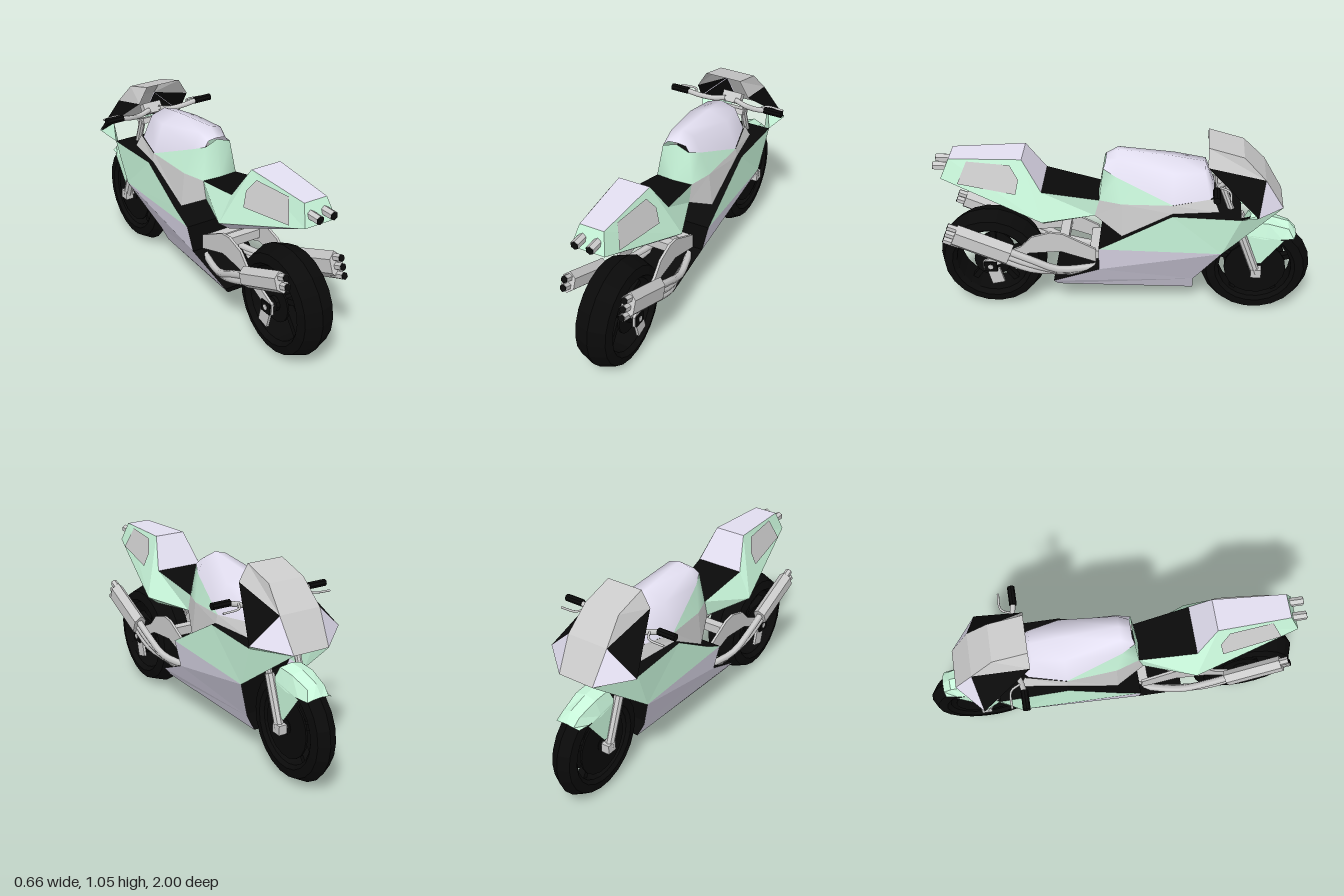
import * as THREE from 'three';

const GREEN = 0xc8f6da, LILAC = 0xe4e0f2, GREY = 0xcccccc, BLACK = 0x0a0a0a;
const V = (a) => new THREE.Vector3(...a);
const flip = ([x, y, z]) => [-x, y, z];
const SIDES = [1, -1];

export function createModel() {
  const model = new THREE.Group();
  const material = (color, flat = true) =>
    new THREE.MeshStandardMaterial({ color, flatShading: flat, side: THREE.DoubleSide });
  const add = (name, geo, color, parent = model, flat = true) => {
    const mesh = new THREE.Mesh(geo, material(color, flat));
    mesh.name = name;
    parent.add(mesh);
    return mesh;
  };

  // Flat panels from convex polygons
  const panels = (name, color, polys) => {
    const pos = [];
    for (const p of polys)
      for (let i = 1; i < p.length - 1; i++) pos.push(...p[0], ...p[i], ...p[i + 1]);
    const geo = new THREE.BufferGeometry();
    geo.setAttribute('position', new THREE.Float32BufferAttribute(pos, 3));
    geo.computeVertexNormals();
    return add(name, geo, color);
  };
  // The same panels on both flanks
  const both = (name, color, polys) =>
    panels(name, color, [...polys, ...polys.map((p) => p.map(flip).reverse())]);
  // A ribbon spanning the bike from flank to flank through a list of edge points
  const across = (name, color, edge) =>
    panels(name, color, edge.slice(1).map((q, i) => [edge[i], q, flip(q), flip(edge[i])]));

  // Smooth skin through cross-sections
  const loft = (name, color, sections, flat = false) => {
    const n = sections[0].length, idx = [];
    for (let i = 0; i < sections.length - 1; i++)
      for (let j = 0; j < n - 1; j++) {
        const a = i * n + j, b = a + n;
        idx.push(a, a + 1, b, a + 1, b + 1, b);
      }
    const geo = new THREE.BufferGeometry();
    geo.setAttribute('position', new THREE.Float32BufferAttribute(sections.flat(2), 3));
    geo.setIndex(idx);
    geo.computeVertexNormals();
    return add(name, geo, color, model, flat);
  };
  const mirrored = (half) => [...half, ...half.slice(0, -1).reverse().map(flip)];

  const rod = (name, a, b, r, color = GREY, seg = 8) => {
    const d = V(b).sub(V(a));
    const mesh = add(name, new THREE.CylinderGeometry(r, r, d.length(), seg), color);
    mesh.position.copy(V(a)).addScaledVector(d, 0.5);
    mesh.quaternion.setFromUnitVectors(new THREE.Vector3(0, 1, 0), d.normalize());
    return mesh;
  };
  const tube = (name, pts, r, color = GREY) =>
    add(name, new THREE.TubeGeometry(new THREE.CatmullRomCurve3(pts.map(V)), 10, r, 6), color, model, false);
  const box = (name, size, at, color = GREY) => {
    const mesh = add(name, new THREE.BoxGeometry(...size), color);
    mesh.position.set(...at);
    return mesh;
  };

  // Wheels: lathed tyre, five spokes, hub and discs
  const wheel = (name, z, w, discR, discX) => {
    const g = new THREE.Group();
    g.name = name;
    g.position.set(0, 0.292, z);
    const side = [[0.195, 0.75], [0.215, 1], [0.262, 0.86]];
    const ring = [...side, [0.292, 0], ...side.slice().reverse().map(([r, x]) => [r, -x]), side[0]];
    add('tyre', new THREE.LatheGeometry(ring.map(([r, x]) => new THREE.Vector2(r, x * w)), 22).rotateZ(Math.PI / 2), BLACK, g);
    add('hub', new THREE.CylinderGeometry(0.04, 0.04, w * 1.7, 10).rotateZ(Math.PI / 2), BLACK, g);
    for (let i = 0; i < 5; i++)
      add('spoke', new THREE.BoxGeometry(0.04, 0.2, 0.03).translate(0, 0.11, 0).rotateX((i * 2 * Math.PI) / 5), BLACK, g);
    for (const s of SIDES)
      add('disc', new THREE.CylinderGeometry(discR, discR, 0.01, 18).rotateZ(Math.PI / 2).translate(s * discX, 0, 0), BLACK, g);
    model.add(g);
  };
  wheel('rearWheel', 0.708, 0.098, 0.1, 0.06);
  wheel('frontWheel', -0.708, 0.062, 0.165, 0.045);

  // Main fairing corner points on the +x flank; the belly narrows to a keel at the front
  const wing = [0.26, 0.75, -0.69], nose = [0.1, 0.715, -0.825], elbow = [0.205, 0.7, -0.61];
  const topMid = [0.2, 0.705, -0.26], topLow = [0.2, 0.545, 0], rearTop = [0.2, 0.485, 0.12];
  const rearMid = [0.165, 0.33, 0.12], rearLow = [0.13, 0.215, 0.37], bellyRear = [0.1, 0.175, 0.35];
  const frontMid = [0.19, 0.475, -0.52], frontLow = [0.06, 0.21, -0.38], bellyFront = [0.015, 0.12, -0.38];
  both('upperFairing', GREEN, [[topMid, topLow, rearTop, frontMid], [elbow, topMid, frontMid], [elbow, frontMid, nose], [wing, elbow, nose]]);
  both('lowerFairing', LILAC, [[rearTop, rearMid, frontMid], [rearMid, frontLow, frontMid], [rearMid, rearLow, frontLow], [frontLow, rearLow, bellyRear, bellyFront]]);
  across('bellyPan', LILAC, [bellyFront, bellyRear]);
  across('fairingInner', BLACK, [elbow, topMid, topLow, rearTop, rearMid, rearLow, bellyRear]);
  across('radiatorShroud', BLACK, [[0.19, 0.69, -0.46], [0.175, 0.47, -0.4], [0.055, 0.21, -0.355], bellyFront]);

  // Windscreen and nose
  const scrTop = [0.1, 1.055, -0.43], scrSide = [0.15, 0.97, -0.43], scrMid = [0.1, 1.005, -0.61], brow = [0.115, 0.885, -0.725];
  across('windscreen', GREY, [scrTop, scrMid, brow]);
  across('headlightPanel', GREY, [brow, nose]);
  both('windscreenSide', GREY, [[scrTop, scrMid, brow, scrSide]]);
  both('screenCheek', BLACK, [[scrSide, brow, wing]]);
  both('nosePanel', LILAC, [[brow, nose, wing]]);
  both('noseLining', BLACK, [[brow, nose, wing].map(([x, y, z]) => [x - 0.004, y, z + 0.01])]);

  // Fuel tank: lilac top shell over green flanks
  const tank = [ // colour line, shoulder, centre
    [[0.075, 0.9, 0.1], [0.05, 0.925, 0.09], [0, 0.93, 0.09]],
    [[0.105, 0.87, 0.03], [0.065, 0.955, 0.03], [0, 0.975, 0.03]],
    [[0.165, 0.75, -0.26], [0.11, 0.905, -0.26], [0, 0.945, -0.26]],
    [[0.12, 0.765, -0.45], [0.08, 0.895, -0.42], [0, 0.92, -0.42]],
    [[0.1, 0.77, -0.47], [0.06, 0.78, -0.47], [0, 0.78, -0.47]],
  ];
  loft('tankTop', LILAC, tank.map(mirrored));
  const flank = [
    [[0, 0.925, 0.095], [0, 0.725, 0.13]], [[0.075, 0.9, 0.1], [0.1, 0.725, 0.12]],
    [[0.105, 0.87, 0.03], [0.14, 0.73, 0]], [[0.165, 0.75, -0.26], [0.166, 0.745, -0.26]],
  ];
  loft('tankFlankLeft', GREEN, flank);
  loft('tankFlankRight', GREEN, flank.map((s) => s.map(flip)));
  both('frameCover', GREY, [
    [[0.1, 0.63, 0.145], [0.1, 0.725, 0.12], [0.14, 0.73, 0], [0.16, 0.545, 0]],
    [[0.14, 0.73, 0], [0.166, 0.75, -0.26], [0.175, 0.705, -0.26], [0.16, 0.545, 0]],
    [[0.166, 0.75, -0.26], [0.12, 0.77, -0.47], [0.14, 0.7, -0.5], [0.175, 0.705, -0.26]],
  ]);
  across('frameRear', BLACK, [[0.1, 0.725, 0.12], [0.1, 0.63, 0.145], [0.16, 0.545, 0]]);

  // Seat and tail cowl
  const tailTop = [0.065, 0.925, 0.895], tailEnd = [0.09, 0.82, 0.94], humpTop = [0.085, 0.945, 0.515];
  const seatBack = [0.13, 0.78, 0.415], seatFront = [0.1, 0.725, 0.12], hip = [0.2, 0.64, 0.41];
  const keel = [0.14, 0.595, 0.41], neck = [0.1, 0.63, 0.145];
  across('seat', BLACK, [seatFront, seatBack]);
  across('tailTop', LILAC, [seatBack, humpTop, tailTop]);
  across('tailEnd', GREEN, [tailTop, tailEnd]);
  across('tailUnderside', BLACK, [tailEnd, keel, neck]);
  both('tailSide', GREEN, [[tailTop, humpTop, hip, tailEnd], [humpTop, seatBack, hip], [seatBack, seatFront, neck, hip], [hip, neck, keel]]);
  both('tailBevel', LILAC, [[tailEnd, hip, keel]]);
  // Side plates lying on the cowl
  const plate = [[0.8, 0.92], [0.575, 0.918], [0.53, 0.85], [0.545, 0.775], [0.85, 0.805]];
  both('sidePlate', GREY, [plate.map(([z, y]) => [0.095 + 0.346 * (0.945 - y) - 0.09 * (z - 0.515), y, z])]);

  // Front fender with side blades
  loft('frontFender', GREEN, [
    [[0.08, 0.52, -0.635], [0.06, 0.59, -0.66], [0, 0.605, -0.67]],
    [[0.085, 0.5, -0.75], [0.06, 0.585, -0.76], [0, 0.6, -0.76]],
    [[0.08, 0.5, -0.84], [0.05, 0.55, -0.87], [0, 0.57, -0.87]],
    [[0.07, 0.5, -0.9], [0.045, 0.512, -0.91], [0, 0.517, -0.912]],
  ].map(mirrored), true);
  both('fenderBlade', GREEN, [[[0.08, 0.525, -0.635], [0.085, 0.5, -0.85], [0.085, 0.345, -0.735], [0.085, 0.345, -0.71]]]);

  // Steering, controls, swingarm and exhausts on each side
  const arm = new THREE.Shape([[0.14, 0.345], [0.14, 0.425], [0.315, 0.515], [0.38, 0.522], [0.48, 0.49], [0.54, 0.425],
    [0.75, 0.32], [0.75, 0.26], [0.5, 0.385], [0.33, 0.405]].map((p) => new THREE.Vector2(...p)));
  for (const s of SIDES) {
    rod('forkUpper', [s * 0.09, 0.84, -0.505], [s * 0.09, 0.54, -0.615], 0.018);
    rod('forkLower', [s * 0.09, 0.55, -0.615], [s * 0.09, 0.29, -0.71], 0.025);
    box('axleClamp', [0.045, 0.05, 0.055], [s * 0.09, 0.295, -0.712]);
    tube('handlebar', [[s * 0.03, 0.875, -0.53], [s * 0.1, 0.86, -0.52], [s * 0.17, 0.875, -0.49], [s * 0.24, 0.892, -0.475]], 0.014);
    rod('grip', [s * 0.23, 0.893, -0.475], [s * 0.33, 0.893, -0.475], 0.019, BLACK);
    tube('lever', [[s * 0.19, 0.885, -0.49], [s * 0.22, 0.88, -0.54], [s * 0.31, 0.875, -0.545]], 0.006);
    rod('tailPipe', [s * 0.04, 0.868, 0.87], [s * 0.04, 0.868, 0.982], 0.023, GREY, 6);
    rod('tailPipeBore', [s * 0.04, 0.868, 0.975], [s * 0.04, 0.868, 0.984], 0.021, BLACK, 6);

    const armGeo = new THREE.ExtrudeGeometry(arm, { depth: 0.014, bevelEnabled: false }).rotateY(-Math.PI / 2);
    add('swingarm', armGeo.translate(s * 0.113 + 0.007, 0, 0), GREY);
    box('axleBlock', [0.025, 0.06, 0.07], [s * 0.115, 0.29, 0.71], BLACK);
    box('brakeBracket', [0.015, 0.09, 0.07], [s * 0.108, 0.22, 0.685]).rotation.x = 0.25;

    // Silencer, outlets and headers; three on the left, two on the right
    const x = s * 0.165, count = s > 0 ? 3 : 2, lift = s > 0 ? 0.008 : 0.022;
    rod('silencer', [x, 0.395 + lift, 0.595], [x, 0.512 + lift, 0.88], 1, GREY, 6).scale.set(0.04, 1, s > 0 ? 0.07 : 0.056);
    for (let i = 0; i < count; i++) {
      const y = 0.562 - i * 0.042, z = 0.89 + i * 0.015;
      rod('outlet', [x, y - 0.02, z - 0.06], [x, y + 0.01, z + 0.02], 0.02, GREY, 6);
      rod('outletBore', [x, y + 0.008, z + 0.016], [x, y + 0.011, z + 0.023], 0.018, BLACK, 6);
      tube('header', [[x, 0.44 - i * 0.035, 0.63], [x, 0.375 - i * 0.03, 0.48],
        [s * (0.15 - i * 0.012), 0.31 - i * 0.015, 0.34], [s * 0.1, 0.3 - i * 0.02, 0.14]], 0.02);
    }
  }
  rod('frontAxle', [-0.1, 0.293, -0.71], [0.1, 0.293, -0.71], 0.014);
  rod('rearAxle', [-0.13, 0.291, 0.71], [0.13, 0.291, 0.71], 0.015);
  box('swingarmBridge', [0.22, 0.05, 0.05], [0, 0.455, 0.31]);
  box('swingarmPivot', [0.22, 0.05, 0.05], [0, 0.385, 0.15]);
  box('tripleClamp', [0.2, 0.03, 0.07], [0, 0.83, -0.51]).rotation.x = -0.35;
  box('instrument', [0.11, 0.06, 0.04], [0, 0.87, -0.56]).rotation.x = -0.6;
  return model;
}
